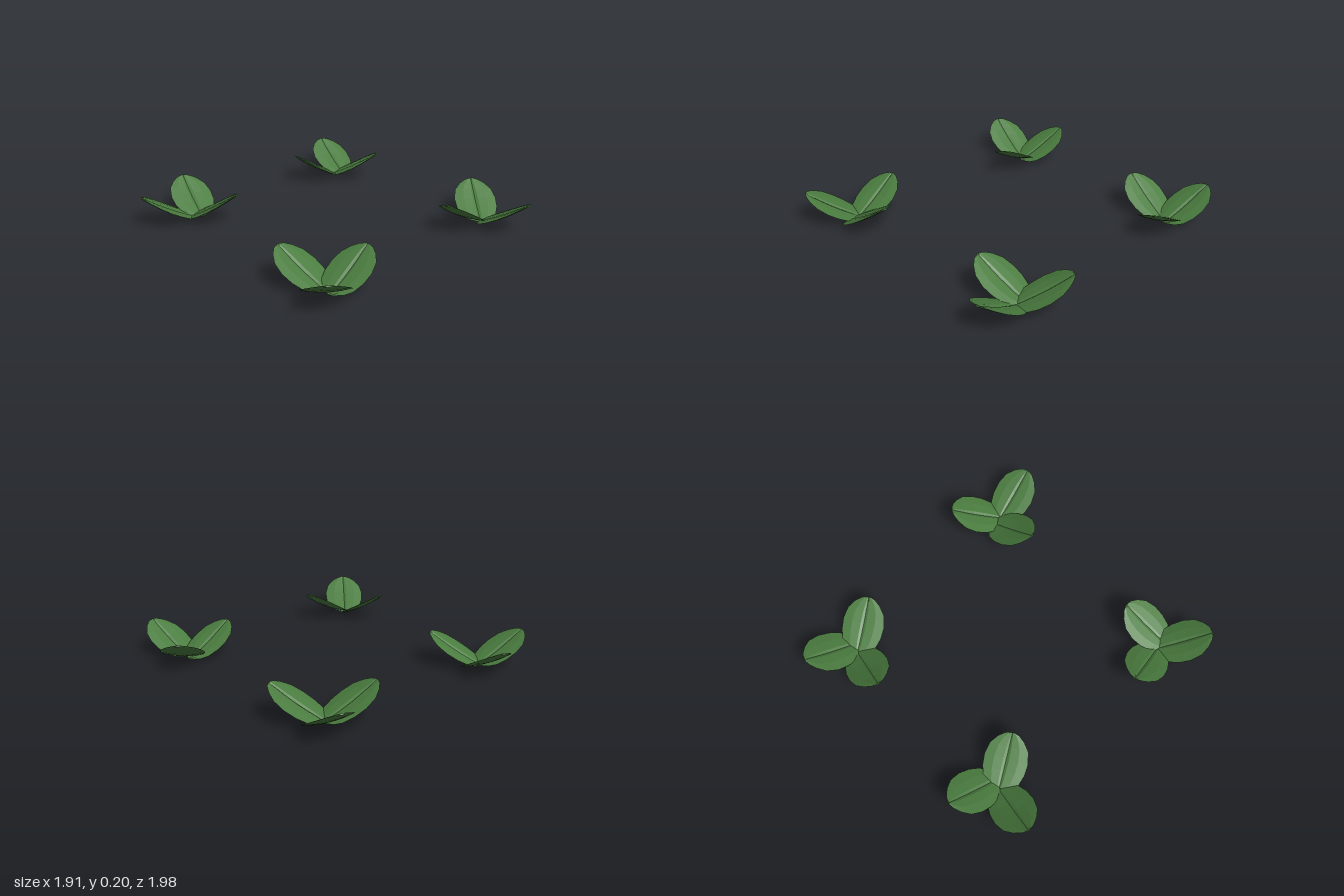
import * as THREE from 'three';

const rad = THREE.MathUtils.degToRad;
const LENGTH = 0.385;

// Leaf outline: [fraction of the length, half width]
const OUTLINE = [
  [0, 0.014], [0.07, 0.075], [0.17, 0.112], [0.35, 0.134], [0.55, 0.139],
  [0.75, 0.122], [0.89, 0.083], [0.97, 0.045], [1, 0.016],
];

// Cross-section loop: [fraction of half width, height]; grooved top, keeled underside
const SECTION = [
  [-1, 0], [-0.55, 0.006], [-0.13, 0.004], [0, -0.004], [0.13, 0.004], [0.55, 0.006],
  [1, 0], [0.6, -0.011], [0.1, -0.017], [-0.1, -0.017], [-0.6, -0.011],
];

// Thin oval leaf lofted along +x
function leafGeometry() {
  const n = SECTION.length;
  const pos = [];
  const index = [];
  OUTLINE.forEach(([t, w]) => {
    const thick = 0.45 + 0.55 * Math.sin(Math.PI * t);
    const sag = -0.008 * Math.sin(Math.PI * t);
    SECTION.forEach(([s, h]) => pos.push(t * LENGTH, h * thick + sag, s * w));
  });
  for (let r = 0; r < OUTLINE.length - 1; r++) {
    for (let i = 0; i < n; i++) {
      const a = r * n + i;
      const b = r * n + (i + 1) % n;
      index.push(a, b, a + n, b, b + n, a + n);
    }
  }
  // end caps
  const last = (OUTLINE.length - 1) * n;
  for (let i = 1; i < n - 1; i++) {
    index.push(0, i + 1, i, last, last + i, last + i + 1);
  }
  const geo = new THREE.BufferGeometry();
  geo.setAttribute('position', new THREE.Float32BufferAttribute(pos, 3));
  geo.setIndex(index);
  geo.computeVertexNormals();
  return geo;
}

// Leaf bases and headings (degrees from +x towards +z)
const LEAVES = [
  { x: 0, z: 0, heading: 261 },
  { x: -0.02, z: 0.052, heading: -8 },
  { x: 0.004, z: -0.02, heading: 129 },
];

// Sprout positions and turns
const SPROUTS = [
  { x: -0.595, z: -0.70, turn: -68 },
  { x: 0.70, z: -0.70, turn: -68 },
  { x: -0.705, z: 0.70, turn: 0 },
  { x: 0.705, z: 0.65, turn: 180 },
];

export function createModel() {
  const model = new THREE.Group();
  model.name = 'leafSprouts';
  const geo = leafGeometry();
  const green = new THREE.MeshStandardMaterial({
    color: 0x4a7c3f, flatShading: true, side: THREE.DoubleSide,
  });

  SPROUTS.forEach((s, k) => {
    const sprout = new THREE.Group();
    sprout.name = `sprout${k + 1}`;
    LEAVES.forEach((l, i) => {
      const leaf = new THREE.Mesh(geo, green);
      leaf.name = `leaf${i + 1}`;
      leaf.position.set(l.x, 0.015, l.z);
      leaf.rotation.set(0, -rad(l.heading), rad(29));
      sprout.add(leaf);
    });
    sprout.position.set(s.x, 0, s.z);
    sprout.rotation.y = -rad(s.turn);
    model.add(sprout);
  });
  return model;
}
